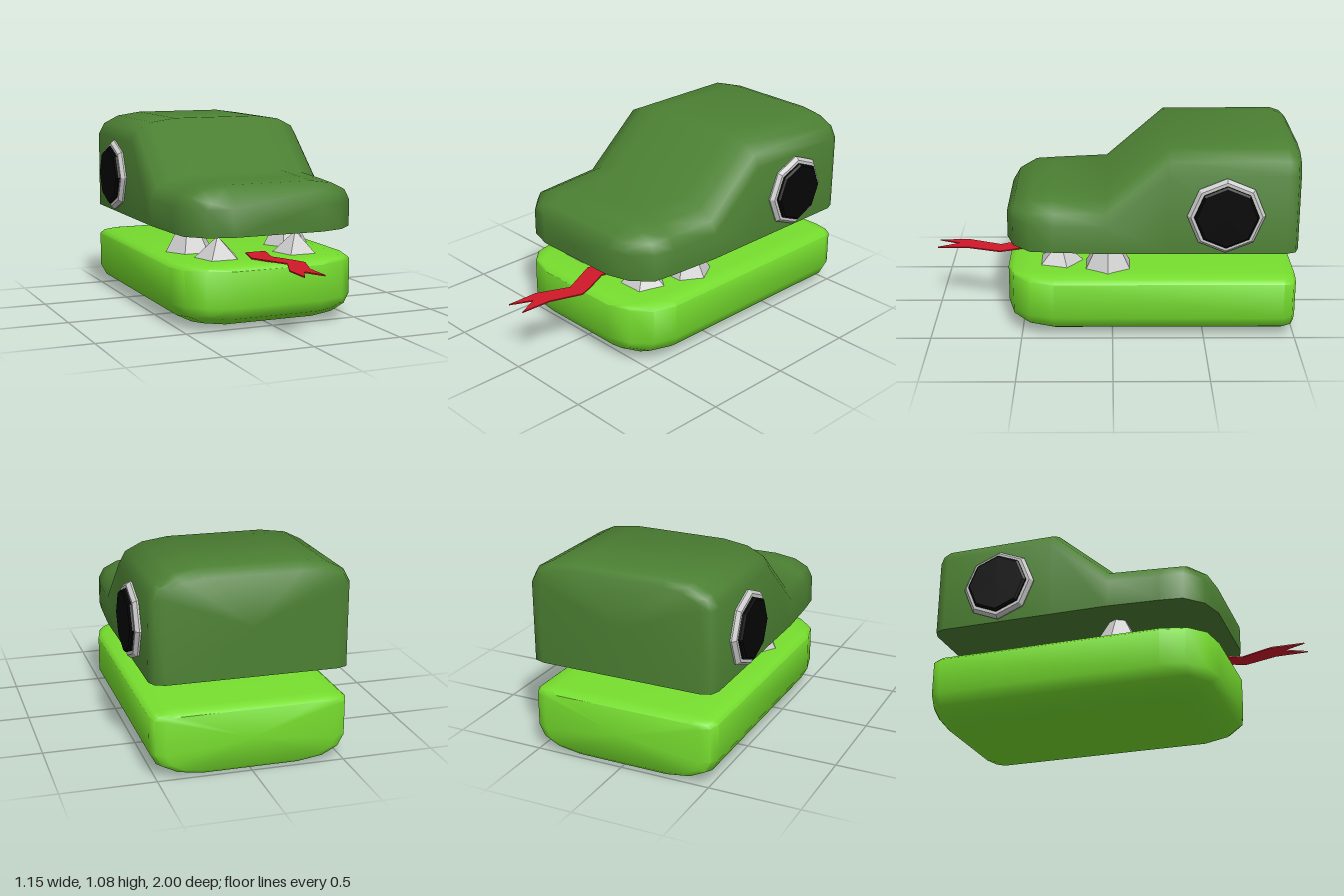
import * as THREE from 'three';
import { toCreasedNormals } from 'three/addons/utils/BufferGeometryUtils.js';

const paint = (color, extra = {}) => {
  const m = new THREE.MeshStandardMaterial({ color, ...extra });
  return m;
};

// Rounded corner as [inset from side, inset from top or bottom]
const CORNER = [[0.265, 0], [0.125, 0.02], [0.035, 0.065], [0, 0.13]];
const SMALL_CORNER = [[0, 0.03], [0.025, 0.01], [0.1, 0]];

// Closed loft along z, sections from back to front; each holds the right half, bottom to top
function loft(sections) {
  const pos = [], idx = [];
  const rings = sections.map(({ z, half }) => {
    const ring = half.concat(half.slice().reverse().map(([x, y]) => [-x, y]));
    ring.forEach(([x, y]) => pos.push(x, y, z));
    return ring;
  });
  const n = rings[0].length;
  for (let i = 0; i < rings.length - 1; i++) {
    for (let j = 0; j < n; j++) {
      const a = i * n + j, b = i * n + (j + 1) % n;
      idx.push(a, b, b + n, a, b + n, a + n);
    }
  }
  // End caps
  [0, rings.length - 1].forEach((r) => {
    const ys = rings[r].map((p) => p[1]);
    const c = pos.length / 3;
    pos.push(0, (Math.min(...ys) + Math.max(...ys)) / 2, sections[r].z);
    for (let j = 0; j < n; j++) {
      const a = r * n + j, b = r * n + (j + 1) % n;
      if (r) idx.push(c, a, b); else idx.push(c, b, a);
    }
  });
  const g = new THREE.BufferGeometry();
  g.setAttribute('position', new THREE.Float32BufferAttribute(pos, 3));
  g.setIndex(idx);
  return toCreasedNormals(g, 0.9);
}

function headGeometry() {
  // z, half width, top, corner scale
  const rows = [
    [-1, 0.45, 1.04, 0.75], [-0.98, 0.505, 1.065, 0.95], [-0.93, 0.525, 1.08, 1],
    [-0.3, 0.525, 1.08, 1], [0.03, 0.525, 0.79, 1], [0.32, 0.505, 0.783, 1],
    [0.445, 0.49, 0.772, 0.87], [0.54, 0.395, 0.725, 0.53], [0.58, 0.26, 0.66, 0],
  ];
  return loft(rows.map(([z, w, t, s]) => ({
    z,
    half: [[w, 0.51], ...CORNER.slice().reverse().map(([dx, dy]) => [w - dx * s, t - dy * s])],
  })));
}

function jawGeometry() {
  // z, half width, bottom, top, corner scale
  const rows = [
    [-1, 0.45, 0.03, 0.335, 0.75], [-0.98, 0.505, 0.01, 0.35, 0.95], [-0.93, 0.525, 0, 0.358, 1],
    [0.32, 0.525, 0, 0.358, 1], [0.455, 0.49, 0.02, 0.356, 0.87],
    [0.545, 0.4, 0.065, 0.348, 0.53], [0.58, 0.26, 0.13, 0.328, 0],
  ];
  return loft(rows.map(([z, w, b, t, s]) => ({
    z,
    half: [
      ...CORNER.map(([dx, dy]) => [w - dx * s, b + dy * s]),
      ...SMALL_CORNER.map(([dx, dy]) => [w - dx * s, t - dy * s]),
    ],
  })));
}

const lathe8 = (points) =>
  new THREE.LatheGeometry(points.map(([r, y]) => new THREE.Vector2(r, y)), 8);

// Octagonal eye standing on the side of the head, axis pointing outward
function createEye(side) {
  const eye = new THREE.Group();
  eye.name = side > 0 ? 'leftEye' : 'rightEye';
  const white = new THREE.Mesh(
    lathe8([[0.2, 0.5], [0.208, 0.535], [0.19, 0.555], [0.165, 0.555]]),
    paint(0xcccccc, { flatShading: true }));
  white.name = 'eyeRim';
  const pupil = new THREE.Mesh(
    lathe8([[0.172, 0.54], [0.172, 0.565], [0.16, 0.575], [0, 0.575]]),
    paint(0x050505, { flatShading: true }));
  pupil.name = 'pupil';
  eye.add(white, pupil);
  eye.rotation.z = -side * Math.PI / 2;
  eye.position.set(0, 0.73, -0.6);
  return eye;
}

function createTooth(name, radius, height, sides, turn, x, z) {
  const g = new THREE.ConeGeometry(radius, height, sides);
  g.rotateY(turn);
  g.translate(0, height / 2, 0);
  const tooth = new THREE.Mesh(g, paint(0xcccccc, { flatShading: true }));
  tooth.name = name;
  tooth.position.set(x, 0.355, z);
  return tooth;
}

function createTongue() {
  // Zigzag with a forked tip, drawn as x, z
  const outline = [
    [-0.05, 0.25], [0.07, 0.25], [0.03, 0.42], [0.1, 0.57], [0.125, 0.64], [0.065, 0.82],
    [0.06, 1], [0, 0.88], [-0.055, 1], [-0.055, 0.82], [0.02, 0.64], [-0.09, 0.42],
  ];
  const shape = new THREE.Shape(outline.map(([x, z]) => new THREE.Vector2(x, z)));
  const g = new THREE.ExtrudeGeometry(shape, { depth: 0.007, bevelEnabled: false });
  g.rotateX(Math.PI / 2);
  const tongue = new THREE.Mesh(g, paint(0xd0182a, { flatShading: true }));
  tongue.name = 'tongue';
  tongue.position.y = 0.364;
  return tongue;
}

export function createModel() {
  const model = new THREE.Group();
  model.name = 'snakeHead';

  const head = new THREE.Mesh(headGeometry(), paint(0x4c8033));
  head.name = 'upperHead';
  const jaw = new THREE.Mesh(jawGeometry(), paint(0x76dd2e));
  jaw.name = 'lowerJaw';
  model.add(head, jaw, createTongue());

  // Mirrored eyes and teeth
  for (const side of [1, -1]) {
    model.add(
      createEye(side),
      createTooth('frontTooth', 0.13, 0.12, 5, Math.PI, side * 0.235, 0.29),
      createTooth('backTooth', 0.14, 0.25, 6, Math.PI / 6, side * 0.3, 0.025));
  }
  return model;
}
